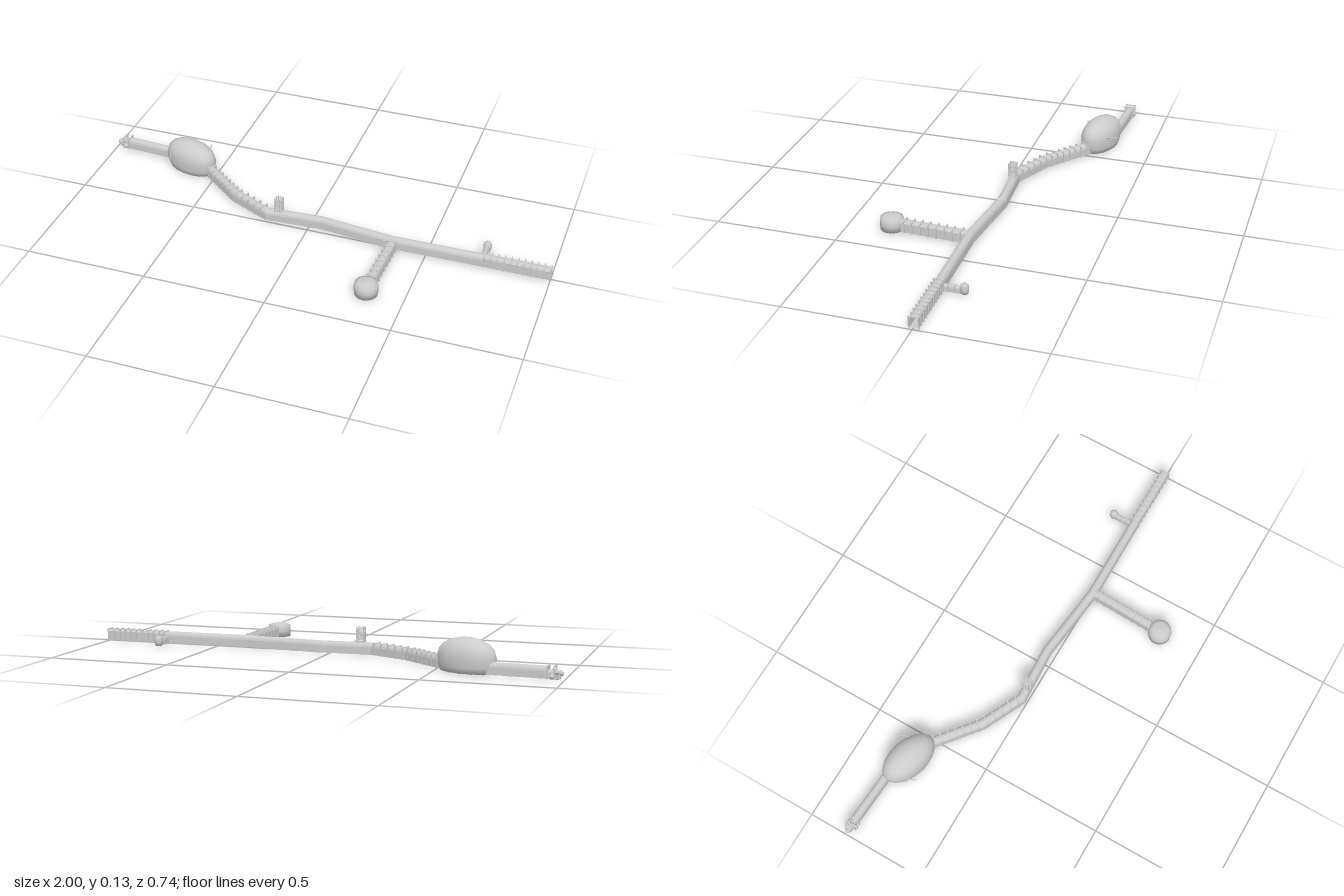
import * as THREE from 'three';

const mat = new THREE.MeshStandardMaterial({ color: 0xcccccc, side: THREE.DoubleSide });
const flat = new THREE.MeshStandardMaterial({ color: 0xcccccc, side: THREE.DoubleSide, flatShading: true });
const FLOOR = 0.005;

function add(parent, name, geo, material = mat) {
  const m = new THREE.Mesh(geo, material);
  m.name = name;
  parent.add(m);
  return m;
}

// Unit cross-sections: across (-1..1) and up (0..1)
const ARCH = [[-1, 0], [-1, 0.62], [-0.86, 0.8], [-0.5, 0.95], [0, 1], [0.5, 0.95], [0.86, 0.8], [1, 0.62], [1, 0]];
const SQUARE = [[-1, 0], [-1, 0.82], [-0.72, 0.96], [0, 1], [0.72, 0.96], [1, 0.82], [1, 0]];

// Sweeps a cross-section along a ground path of [x, z] points with mitred corners
function tunnel(parent, name, path, section, half = 0.018, height = 0.047) {
  const pts = path.map(p => new THREE.Vector2(p[0], p[1]));
  const rings = pts.map((p, i) => {
    const a = pts[Math.max(i - 1, 0)], b = pts[Math.min(i + 1, pts.length - 1)];
    const d1 = (i ? p.clone().sub(a) : b.clone().sub(p)).normalize();
    const d2 = (i < pts.length - 1 ? b.clone().sub(p) : d1.clone()).normalize();
    const d = d1.clone().add(d2).normalize();
    const w = half / d.dot(d1);
    return section.map(([u, v]) => [p.x - d.y * u * w, FLOOR + v * height, p.y + d.x * u * w]);
  });
  const pos = [];
  for (let i = 0; i < rings.length - 1; i++) {
    for (let j = 0; j < section.length; j++) {
      const k = (j + 1) % section.length;
      const [a, b, c, d] = [rings[i][j], rings[i][k], rings[i + 1][k], rings[i + 1][j]];
      pos.push(...a, ...c, ...b, ...a, ...d, ...c);
    }
  }
  const g = new THREE.BufferGeometry();
  g.setAttribute('position', new THREE.Float32BufferAttribute(pos, 3));
  g.computeVertexNormals();
  return add(parent, name, g);
}

// Timber frames (two posts and a crossbeam) spaced evenly from one point to another
function supports(parent, name, from, to, count, half = 0.0185) {
  const dx = to[0] - from[0], dz = to[1] - from[1];
  for (let i = 0; i < count; i++) {
    const t = count > 1 ? i / (count - 1) : 0;
    const frame = new THREE.Group();
    frame.name = name;
    frame.position.set(from[0] + dx * t, 0, from[1] + dz * t);
    frame.rotation.y = -Math.atan2(dz, dx);
    for (const s of [-1, 1]) {
      add(frame, 'post', new THREE.BoxGeometry(0.005, 0.047, 0.004)).position.set(0, 0.0275, s * half);
    }
    add(frame, 'crossbeam', new THREE.BoxGeometry(0.005, 0.004, half * 2 + 0.006)).position.y = 0.0515;
    parent.add(frame);
  }
}

// Round chamber from a profile of [radius, y]
function chamber(parent, name, profile, sides, x, z) {
  const m = add(parent, name, new THREE.LatheGeometry(profile.map(p => new THREE.Vector2(p[0], p[1])), sides));
  m.position.set(x, 0, z);
  return m;
}

function rod(parent, name, a, b, r) {
  const v0 = new THREE.Vector3(...a), v1 = new THREE.Vector3(...b);
  const dir = v1.clone().sub(v0);
  const m = add(parent, name, new THREE.CylinderGeometry(r, r, dir.length(), 6));
  m.position.copy(v0).add(v1).multiplyScalar(0.5);
  m.quaternion.setFromUnitVectors(new THREE.Vector3(0, 1, 0), dir.normalize());
}

export function createModel() {
  const model = new THREE.Group();
  model.name = 'tunnelNetwork';

  // Main passage
  tunnel(model, 'mainTunnel', [[0.73, -0.005], [0.36, -0.001], [0.21, -0.018], [0.05, -0.037], [-0.18, -0.024]], ARCH);
  tunnel(model, 'timberedEntrance', [[0.995, -0.005], [0.73, -0.005]], SQUARE, 0.0165, 0.046);
  supports(model, 'entranceFrame', [0.997, -0.005], [0.735, -0.005], 11);

  // Bent timbered passage to the cavern
  const bend = [[-0.18, -0.024], [-0.35, -0.105], [-0.53, -0.25]];
  tunnel(model, 'bentTunnel', [[-0.15, -0.025], ...bend], ARCH, 0.0185);
  supports(model, 'bendFrame', [-0.2, -0.034], [-0.335, -0.098], 5);
  supports(model, 'bendFrame', [-0.365, -0.117], [-0.51, -0.234], 7);

  // Side passage with round chamber
  tunnel(model, 'sideTunnel', [[0.366, 0.0], [0.353, 0.3]], SQUARE, 0.0165, 0.046);
  supports(model, 'sideFrame', [0.365, 0.03], [0.356, 0.265], 8);
  chamber(model, 'roundChamber', [[0, 0.005], [0.046, 0.005], [0.048, 0.03], [0.046, 0.054], [0.03, 0.06], [0, 0.064]], 14, 0.35, 0.322);

  // Narrow passage with a small domed niche
  tunnel(model, 'narrowTunnel', [[0.725, -0.01], [0.725, -0.1]], ARCH, 0.009, 0.027);
  chamber(model, 'niche', [[0, 0.005], [0.013, 0.005], [0.017, 0.018], [0.016, 0.036], [0.01, 0.044], [0, 0.046]], 10, 0.725, -0.101);
  for (const z of [-0.04, -0.065, -0.086]) {
    add(model, 'nicheFrame', new THREE.BoxGeometry(0.024, 0.028, 0.004)).position.set(0.725, 0.019, z);
  }

  // Large oval cavern
  const cavern = new THREE.Group();
  cavern.name = 'cavern';
  cavern.position.set(-0.624, 0, -0.28);
  cavern.rotation.y = -0.3;
  model.add(cavern);
  const dome = chamber(cavern, 'cavernDome', [[0, 0.004], [0.9, 0.004], [0.97, 0.025], [1, 0.06], [0.94, 0.085],
    [0.79, 0.106], [0.54, 0.122], [0.26, 0.13], [0, 0.132]], 18, 0, 0);
  dome.scale.set(0.123, 1, 0.07);
  for (let i = 0; i < 12; i++) {
    const a = i * Math.PI / 6;
    const stone = add(cavern, 'floorStone', new THREE.IcosahedronGeometry(0.009, 0), flat);
    stone.position.set(Math.cos(a) * 0.1, 0.005, Math.sin(a) * 0.054);
    stone.scale.y = 0.55;
    stone.rotation.y = i * 1.7;
  }
  // Poles sticking out of the cavern walls
  rod(model, 'wallPole', [-0.55, 0.072, -0.315], [-0.568, 0.072, -0.368], 0.0025);
  rod(model, 'wallPole', [-0.69, 0.075, -0.2], [-0.705, 0.075, -0.245], 0.0025);
  rod(model, 'wallPole', [-0.738, 0.055, -0.28], [-0.7, 0.055, -0.275], 0.0025);

  // Far passage with a blocked mouth
  tunnel(model, 'farTunnel', [[-0.71, -0.322], [-0.94, -0.336]], ARCH, 0.0165, 0.046);
  tunnel(model, 'farMouth', [[-0.935, -0.336], [-0.985, -0.338]], ARCH, 0.011, 0.032);
  supports(model, 'mouthFrame', [-0.94, -0.336], [-0.965, -0.337], 2, 0.02);
  const rocks = [[-0.958, 0.014, -0.322, 0.012], [-0.955, 0.014, -0.353, 0.012], [-0.972, 0.03, -0.345, 0.012],
    [-0.975, 0.013, -0.338, 0.014], [-0.988, 0.025, -0.337, 0.011], [-0.962, 0.034, -0.332, 0.012]];
  rocks.forEach(([x, y, z, r], i) => {
    const rock = add(model, 'rubble', new THREE.IcosahedronGeometry(r, 0), flat);
    rock.position.set(x, y, z);
    rock.rotation.set(i, i * 2, 0);
  });

  // Lattice shaft tower
  const tower = new THREE.Group();
  tower.name = 'shaftTower';
  tower.position.set(-0.13, 0.05, -0.026);
  model.add(tower);
  const R = 0.0148, T = 0.0016, H = 0.061;
  for (let side = 0; side < 4; side++) {
    const wall = new THREE.Group();
    wall.name = 'latticeWall';
    wall.rotation.y = side * Math.PI / 2;
    tower.add(wall);
    for (let i = 0; i < 5; i++) {
      add(wall, 'upright', new THREE.BoxGeometry(T * 1.4, H, T)).position.set(-R + i * R / 2, H / 2, R);
    }
    for (let i = 0; i < 11; i++) {
      add(wall, 'rung', new THREE.BoxGeometry(R * 2 + T, T, T)).position.set(0, 0.002 + i * 0.0058, R);
    }
  }
  add(tower, 'towerFloor', new THREE.BoxGeometry(R * 2, 0.002, R * 2)).position.y = 0.002;
  for (const s of [-1, 1]) {
    add(tower, 'headBeam', new THREE.BoxGeometry(0.004, 0.002, 0.03)).position.set(s * 0.008, H + 0.002, 0);
  }
  return model;
}
